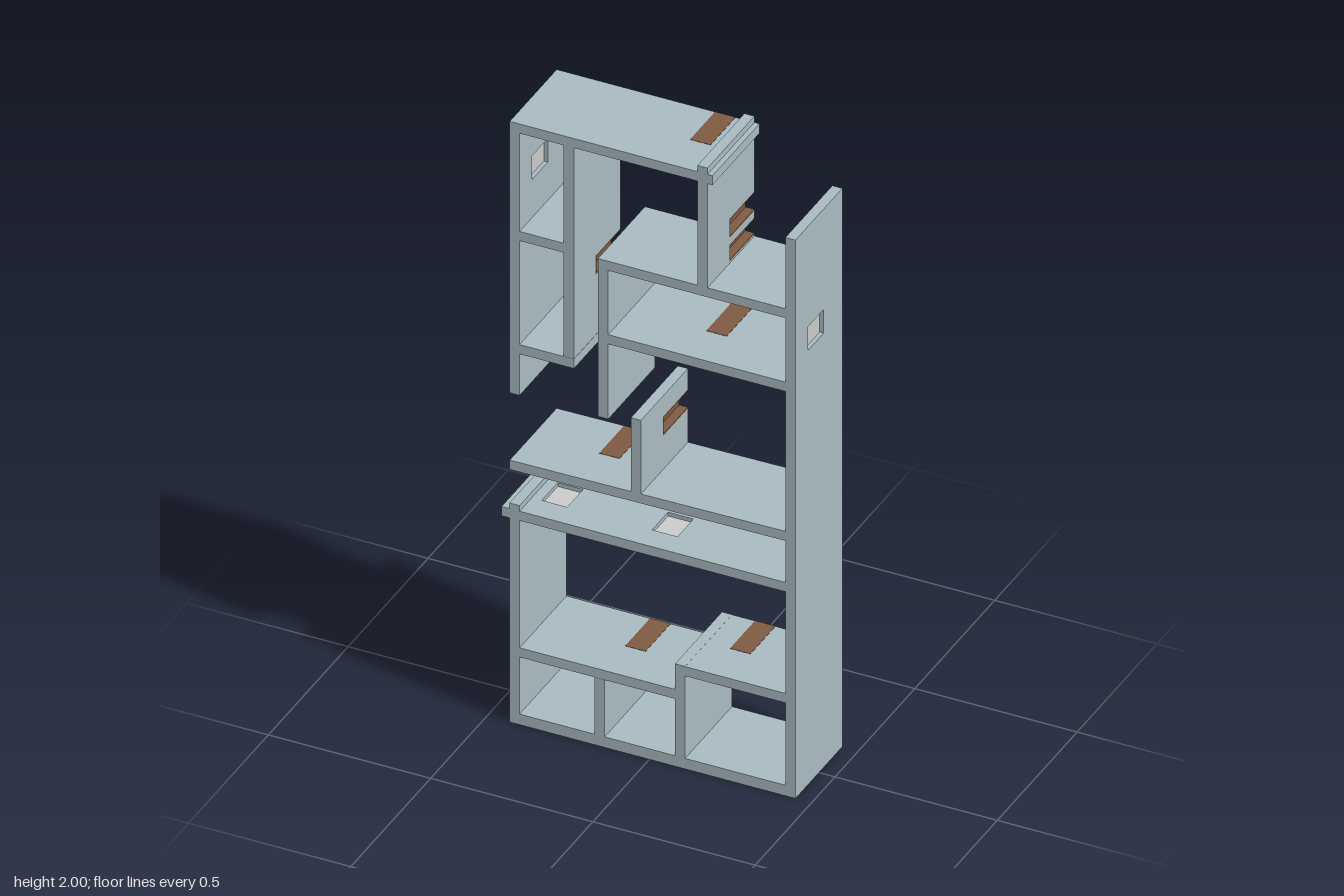
import * as THREE from 'three';

const D = 0.147;        // half depth
const T = 0.031;        // panel thickness
const SLOT_W = 0.063, SLOT_END = 0.01, LINING = 0.004;

const panelMat = new THREE.MeshStandardMaterial({ color: 0xa9bcc2 });
const slotMat = new THREE.MeshStandardMaterial({ color: 0x7f5a42 });
const plateMat = new THREE.MeshStandardMaterial({ color: 0xcccccc });

function addBox(parent, name, mat, size, pos) {
  const mesh = new THREE.Mesh(new THREE.BoxGeometry(...size), mat);
  mesh.name = name;
  mesh.position.set(...pos);
  parent.add(mesh);
}

// A board lying along x from a to b, centred on y = 0.
// slots: [centre, width] cut in from the back edge; windows: centres of small openings.
function board(name, a, b, slots = [], windows = [], t = T) {
  const g = new THREE.Group();
  g.name = name;

  // outline, with the back edge at +y of the shape
  const s = new THREE.Shape();
  s.moveTo(a, -D);
  s.lineTo(b, -D);
  s.lineTo(b, D);
  for (const [c, w] of [...slots].sort((p, q) => q[0] - p[0])) {
    s.lineTo(c + w / 2, D);
    s.lineTo(c + w / 2, -SLOT_END);
    s.lineTo(c - w / 2, -SLOT_END);
    s.lineTo(c - w / 2, D);
  }
  s.lineTo(a, D);
  s.closePath();
  for (const c of windows) {
    const h = new THREE.Path();
    h.moveTo(c - 0.039, -0.07);
    h.lineTo(c - 0.039, 0.03);
    h.lineTo(c + 0.039, 0.03);
    h.lineTo(c + 0.039, -0.07);
    h.closePath();
    s.holes.push(h);
  }
  const geo = new THREE.ExtrudeGeometry(s, { depth: t, bevelEnabled: false });
  geo.rotateX(-Math.PI / 2).translate(0, -t / 2, 0);
  const body = new THREE.Mesh(geo, panelMat);
  body.name = name + 'Board';
  g.add(body);

  // brown slot: cover flush with the upper face, lined sides and end
  const len = D + SLOT_END, zMid = (SLOT_END - D) / 2;
  for (const [c, w] of slots) {
    addBox(g, 'slotCover', slotMat, [w, LINING, len], [c, t / 2 - LINING / 2 + 0.001, zMid]);
    for (const k of [-1, 1])
      addBox(g, 'slotSide', slotMat, [LINING, t - LINING, len], [c + k * (w - LINING) / 2, -LINING / 2, zMid]);
    addBox(g, 'slotEnd', slotMat, [w, t - LINING, LINING], [c, -LINING / 2, SLOT_END - LINING / 2]);
  }
  // thin plate set in the middle of each window
  for (const c of windows)
    addBox(g, 'windowPlate', plateMat, [0.078, 0.006, 0.1], [c, 0, 0.02]);
  return g;
}

export function createModel() {
  const model = new THREE.Group();
  model.name = 'shelvingUnit';

  const shelf = (name, y, a, b, slots, windows, t) => {
    const g = board(name, a, b, slots, windows, t);
    g.position.y = y;
    model.add(g);
    return g;
  };
  // turned so the board runs up y and its slot covers face -x
  const upright = (name, x, a, b, slots, windows) => {
    const g = board(name, a, b, slots, windows);
    g.rotation.z = Math.PI / 2;
    g.position.x = x;
    model.add(g);
  };
  const slot = (c, w = SLOT_W) => [c, w];

  // lower section
  shelf('base', 0.0175, -0.43, 0.42, [], [], 0.035);
  upright('rightSide', 0.435, 0, 1.84, [], [1.47]);
  upright('lowerLeftSide', -0.415, 0.035, 0.722);
  upright('lowDivider', -0.153, 0.035, 0.222);
  upright('stepDivider', 0.095, 0.035, 0.338);
  shelf('lowShelf', 0.238, -0.4, 0.08, [slot(-0.11)]);
  shelf('stepShelf', 0.322, 0.11, 0.42, [slot(0.213)]);
  shelf('lowerTop', 0.688, -0.455, 0.42, [], [-0.33, 0.01]);

  // middle section, its shelf a little out of level
  shelf('middleShelf', 0.852, -0.43, 0.42, [slot(-0.19)]).rotation.z = 0.01;
  upright('middleDivider', -0.041, 0.86, 1.11, [slot(1.01)]);

  // upper section
  upright('hangingDivider', -0.142, 1.085, 1.575);
  shelf('innerShelf', 1.348, -0.127, 0.42, [slot(0.14)]);
  shelf('upperShelf', 1.59, -0.158, 0.42);
  upright('topDivider', 0.164, 1.575, 2, [slot(1.721), slot(1.639, 0.055)]);
  shelf('topShelf', 1.964, -0.43, 0.195, [slot(0.09)]);
  upright('upperLeftSide', -0.415, 1.085, 1.949, [], [1.79]);
  upright('cabinetDivider', -0.248, 1.253, 1.949, [slot(1.482)]);
  shelf('cabinetShelf', 1.61, -0.4, -0.263);
  shelf('cabinetFloor', 1.237, -0.4, -0.232);

  return model;
}
